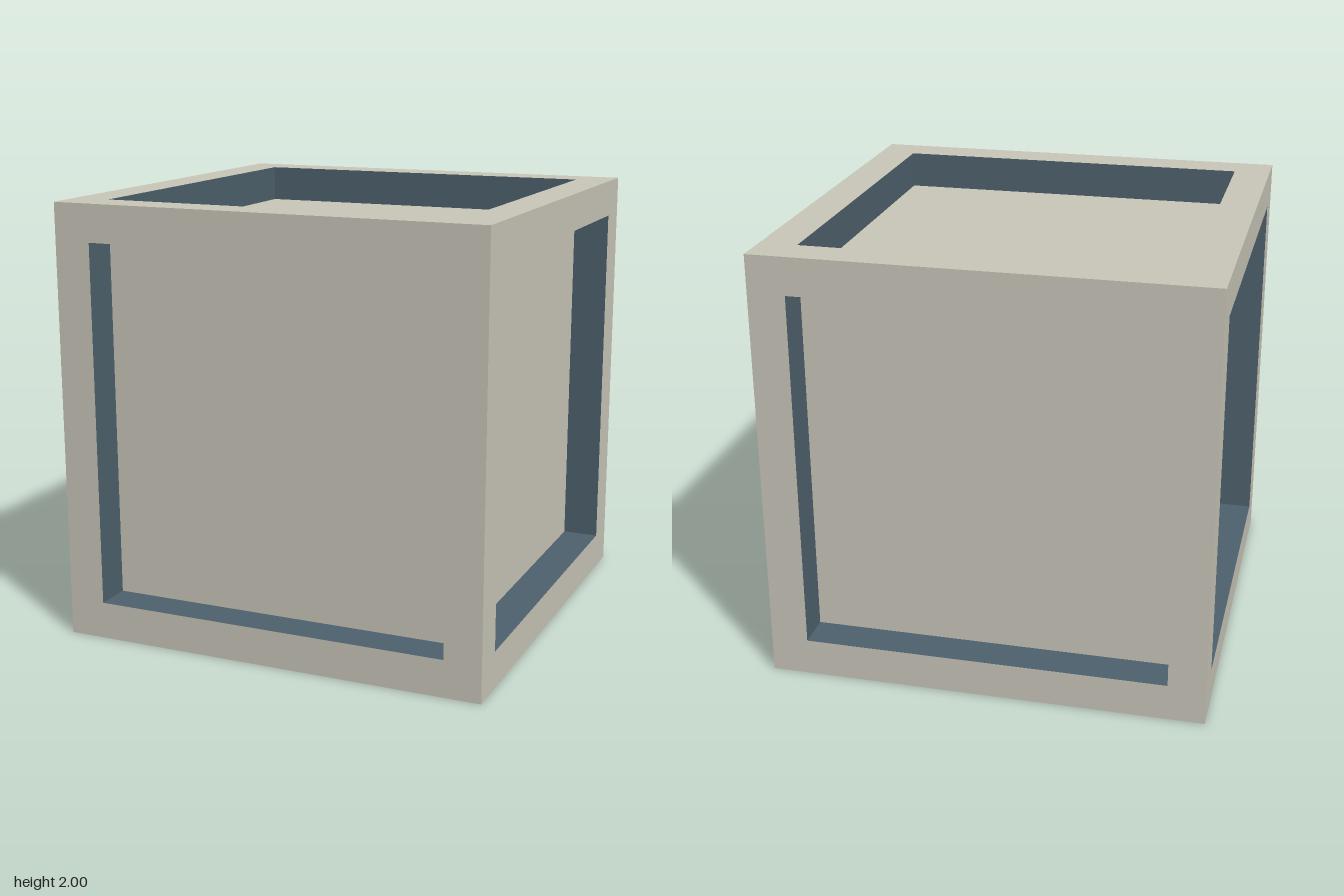
import * as THREE from 'three';

const H = 1;      // half size of the cube
const R = 0.83;   // half size of each opening
const D = 0.17;   // recess depth

const beige = new THREE.MeshStandardMaterial({ color: 0xc9c6b9 });
beige.name = 'beige';
const slate = new THREE.MeshStandardMaterial({ color: 0x4e616d });
slate.name = 'slate blue';

function part(name, geometry, material) {
  const mesh = new THREE.Mesh(geometry, material);
  mesh.name = name;
  return mesh;
}

// Square ring on the outer surface
function rimGeometry() {
  const corners = (s) => [[-s, -s], [s, -s], [s, s], [-s, s]].map(([x, y]) => new THREE.Vector2(x, y));
  const shape = new THREE.Shape(corners(H));
  shape.holes.push(new THREE.Path(corners(R).reverse()));
  return new THREE.ShapeGeometry(shape).translate(0, 0, H);
}

// One side of the cube, facing +z: rim, four recess walls and sunken panel
function createSide(name) {
  const side = new THREE.Group();
  side.name = name;
  side.add(part('rim', rimGeometry(), beige));
  side.add(part('sunkenPanel', new THREE.PlaneGeometry(2 * R, 2 * R).translate(0, 0, H - D), beige));
  for (let i = 0; i < 4; i++) {
    const wall = new THREE.PlaneGeometry(2 * R, D)
      .rotateX(-Math.PI / 2)
      .translate(0, -R, H - D / 2)
      .rotateZ(i * Math.PI / 2);
    side.add(part('recessWall', wall, slate));
  }
  return side;
}

export function createModel() {
  const model = new THREE.Group();
  model.name = 'framedCube';
  const q = Math.PI / 2;
  const sides = [
    ['frontSide', 0, 0], ['leftSide', 0, q], ['backSide', 0, 2 * q],
    ['rightSide', 0, -q], ['topSide', -q, 0], ['bottomSide', q, 0],
  ];
  for (const [name, rx, ry] of sides) {
    const side = createSide(name);
    side.rotation.set(rx, ry, 0);
    side.position.y = H;
    model.add(side);
  }
  return model;
}
